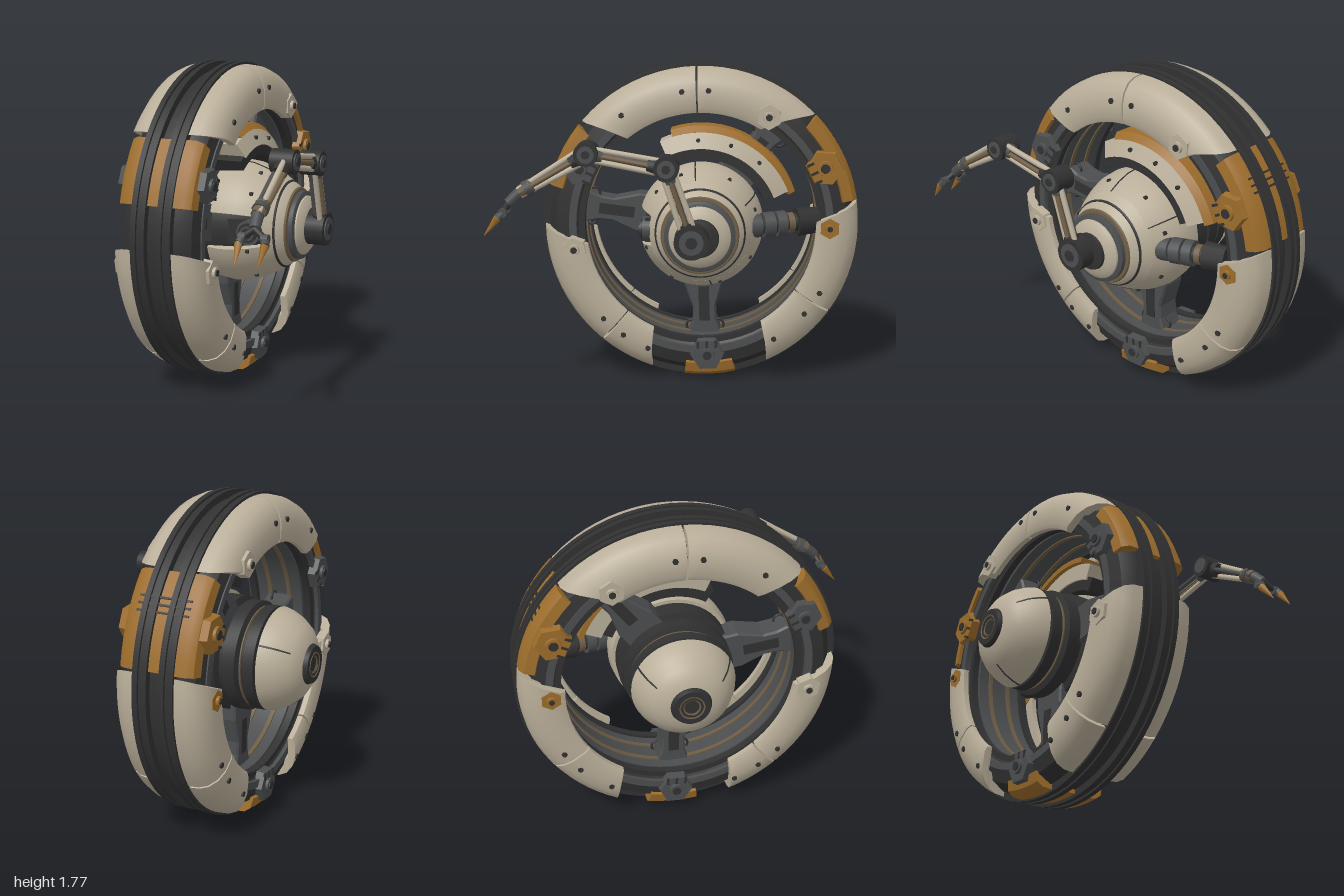
import * as THREE from 'three';
import { toCreasedNormals } from 'three/addons/utils/BufferGeometryUtils.js';

const material = (name, color) => Object.assign(new THREE.MeshStandardMaterial({ color }), { name });
const V = (x, y, z) => new THREE.Vector3(x, y, z);
const CX = -0.115, CY = 0.895, CZ = -0.11; // wheel centre, axle along x
const RAD = Math.PI / 180;

export function createModel() {
  const root = new THREE.Group();
  root.name = 'armedWheelRobot';
  const cream = material('cream', 0xb9ae99), orange = material('orange', 0x9c6c2b);
  const rubber = material('rubber', 0x313132), grey = material('grey', 0x4b4d4e);
  const brown = material('brown', 0x6e5d45);

  function add(name, geo, mat, parent = root) {
    const mesh = new THREE.Mesh(geo, mat);
    mesh.name = name;
    parent.add(mesh);
    return mesh;
  }

  // Sweep a closed [x, radius] outline round the axle, from degree a0 to a1.
  // Degree 0 points backward and 90 up; slants pull the inner ends in.
  function sweep(name, mat, outline, a0, a1, slant0 = 0, slant1 = 0) {
    const full = a1 - a0 >= 360, n = Math.ceil((a1 - a0) / 5);
    const pts = outline.map(([x, r]) => new THREE.Vector2(x, r));
    if (THREE.ShapeUtils.isClockWise(pts)) pts.reverse();
    const pos = [];
    const put = (i, p) => {
      const depth = 0.885 - p.y, t = i / n;
      const a = ((a0 + slant0 * depth) * (1 - t) + (a1 - slant1 * depth) * t) * RAD;
      pos.push(p.x, CY + p.y * Math.sin(a), CZ - p.y * Math.cos(a));
    };
    for (let i = 0; i < n; i++) pts.forEach((p, j) => {
      const q = pts[(j + 1) % pts.length];
      put(i, p); put(i, q); put(i + 1, p);
      put(i + 1, p); put(i, q); put(i + 1, q);
    });
    if (!full) for (const [a, b, c] of THREE.ShapeUtils.triangulateShape(pts, [])) {
      put(n, pts[a]); put(n, pts[b]); put(n, pts[c]);
      put(0, pts[c]); put(0, pts[b]); put(0, pts[a]);
    }
    const geo = new THREE.BufferGeometry();
    geo.setAttribute('position', new THREE.Float32BufferAttribute(pos, 3));
    return add(name, toCreasedNormals(geo, 0.6), mat);
  }
  const band = (x0, x1, r0, r1) => [[x0, r0], [x0, r1], [x1, r1], [x1, r0]];
  const bothSides = (fn) => [1, -1].forEach(fn);

  // Turned part on the axle; profile is [radius, x] with x rising
  function turn(name, mat, profile) {
    const geo = new THREE.LatheGeometry(profile.map(([r, x]) => new THREE.Vector2(r, x)), 48);
    geo.rotateZ(-Math.PI / 2).translate(0, CY, CZ);
    return add(name, toCreasedNormals(geo, 0.5), mat);
  }

  // Frame on the wheel: local x radial, y along the rim, z along the axle
  function polar(name, a, r, x) {
    const s = Math.sin(a * RAD), c = Math.cos(a * RAD), g = new THREE.Group();
    g.name = name;
    g.quaternion.setFromRotationMatrix(new THREE.Matrix4().makeBasis(V(0, s, -c), V(0, c, s), V(1, 0, 0)));
    g.position.set(x, CY + r * s, CZ - r * c);
    root.add(g);
    return g;
  }
  function bolt(a, r, x, size) {
    add('boltHead', new THREE.CylinderGeometry(size, size, .018, 6).rotateX(Math.PI / 2), rubber, polar('bolt', a, r, x));
  }

  // Round bar between two points
  function rod(name, mat, p, q, r0, r1 = r0, sides = 14) {
    const d = q.clone().sub(p);
    const mesh = add(name, new THREE.CylinderGeometry(r1, r0, d.length(), sides), mat);
    mesh.position.copy(p).addScaledVector(d, 0.5);
    mesh.quaternion.setFromUnitVectors(V(0, 1, 0), d.normalize());
    return mesh;
  }

  // Wheel core, inner rim rails and tread
  sweep('wheelCore', rubber, [[-.3, .67], [-.33, .72], [-.31, .8], [-.24, .845], [.01, .845], [.08, .8], [.1, .72], [.07, .67]], 0, 360);
  sweep('innerRim', grey, band(-.25, .02, .65, .68), 0, 360);
  bothSides((s) => {
    sweep('rimRail', rubber, band(CX + s * .17 - .02, CX + s * .17 + .02, .645, .7), 0, 360);
    sweep('rimTrim', brown, band(CX + s * .06 - .012, CX + s * .06 + .012, .643, .66), 0, 360);
    sweep('sideGroove', grey, band(CX + s * .2 - .02, CX + s * .2 + .02, .69, .73), 0, 360);
    for (const [u0, u1, r] of [[.034, .064, .885], [.064, .084, .872], [.084, .114, .885]])
      sweep('treadBand', rubber, band(CX + s * u0, CX + s * u1, .83, r), 0, 360);
  });

  // Cream armour segments on both sides of the tread: start, end and their slants
  const shell = [[.11, .872], [.17, .866], [.215, .845], [.25, .8], [.268, .74], [.268, .66], [.255, .63], [.225, .63], [.225, .75], [.11, .82]];
  const segments = [[44, 91.5, 60, 0], [92.3, 139.5, 0, 40], [-33.6, 9.5, 0, 25],
    [-65, -34.4, 28, 0], [180, 229.5, 35, 0], [230.3, 252, 0, 25]];
  // Orange armour plates, with a strip between the tread bands
  const plate = [[.1, .875], [.17, .87], [.205, .845], [.217, .79], [.19, .78], [.1, .82]];
  const plates = [[10, 44], [141, 165], [264, 283]];
  bothSides((s) => {
    const side = (outline) => outline.map(([u, r]) => [CX + s * u, r]);
    segments.forEach((seg) => sweep('armourSegment', cream, side(shell), ...seg));
    plates.forEach(([a, b]) => sweep('orangePlate', orange, side(plate), a, b));
    for (const a of [98, 87, 125, -29, -40, -57, 224, 235, 247]) bolt(a, .75, CX + s * .264, .016);
  });
  plates.forEach(([a, b]) => sweep('orangeStrip', orange, band(CX - .034, CX + .034, .84, .868), a, b));
  for (const a of [29, 31.5, 34]) sweep('plateVent', rubber, band(-.26, .03, .86, .877), a, a + .7);

  // Hexagonal clamps on each side of the rim
  const clamps = [[59, .71, .075, cream, .25], [26, .75, .105, orange, .222], [0, .705, .062, orange, .245],
    [-87, .735, .1, grey, .218], [190.4, .71, .075, cream, .25], [154.5, .735, .1, grey, .222]];
  bothSides((s) => clamps.forEach(([a, r, size, mat, u]) => {
    const g = polar('rimClamp', a, r, CX + s * u);
    const hex = (rad, depth, m, sides, z) => add('clampLayer',
      toCreasedNormals(new THREE.CylinderGeometry(rad * .92, rad, depth, sides).rotateX(s * Math.PI / 2), .5), m, g).position.set(0, 0, s * z);
    hex(size, .05, mat, 6, 0);
    hex(size * .42, .02, mat, 16, .03);
    hex(size * .27, .02, rubber, 8, .036);
    if (size > .09) for (const y of [-.5, 0, .5])
      add('clampSlot', new THREE.BoxGeometry(.04, .014, .008), rubber, g).position.set(-size * .6, y * size, s * .024);
  }));

  // Tapered spokes with cable hoops
  const half = [[.26, .1], [.36, .1], [.5, .055], [.58, .058], [.68, .09]];
  const spoke = new THREE.Shape([...half, ...half.map(([x, y]) => [x, -y]).reverse()].map(([x, y]) => new THREE.Vector2(x, y)));
  const spokeGeo = new THREE.ExtrudeGeometry(spoke, { depth: .13, bevelSize: .01, bevelThickness: .012, bevelSegments: 1 });
  for (const a of [173, -88, 53]) {
    const g = polar('spoke', a, 0, CX);
    add('spokeBeam', spokeGeo, grey, g).position.z = -.065;
    add('spokeInset', new THREE.BoxGeometry(.2, .06, .165), rubber, g).position.x = .48;
    bothSides((s) => {
      const hoop = add('cableHoop', new THREE.TorusGeometry(.034, .007, 8, 20), rubber, g);
      hoop.position.set(.62, s * .072, .03);
    });
  }

  // Central body: left dome, ribbed dark middle, right cone
  turn('domeCap', rubber, [[0, -.59], [.045, -.59], [.05, -.602], [.1, -.602], [.112, -.575], [.112, -.54]]);
  turn('domeRing', brown, [[.04, -.594], [.068, -.605], [.07, -.59]]);
  turn('leftDome', cream, [[.105, -.58], [.15, -.568], [.2, -.535], [.245, -.48], [.272, -.425], [.284, -.385], [.25, -.375]]);
  turn('ribbedBody', rubber, [[.2, -.38], [.284, -.37], [.284, -.31], [.265, -.3], [.265, -.28], [.3, -.27], [.3, -.2], [.275, -.19], [.275, -.17], [.315, -.16], [.315, -.05], [.305, .05], [.28, .14], [.2, .25]]);
  turn('bodyTrim', brown, [[.26, -.295], [.275, -.292], [.275, -.286], [.26, -.283]]);
  const cone = [[-.06, .335], [.02, .345], [.1, .336], [.17, .312], [.24, .277]];
  sweep('rightShell', cream, [...cone, [.23, .245], [.1, .3], [-.06, .31]], -163, 163);
  turn('rightCone', cream, [[.24, .235], [.277, .24], [.238, .3], [.205, .345], [.17, .362]]);
  turn('coneRing', rubber, [[.24, .292], [.245, .294], [.24, .303], [.23, .305]]);
  turn('coneTrim', brown, [[.2, .342], [.21, .345], [.205, .355], [.17, .358]]);
  turn('collar', grey, [[.16, .352], [.19, .36], [.19, .384], [.17, .392], [.15, .392]]);
  turn('collarCap', cream, [[.167, .385], [.164, .4], [.135, .422], [.09, .432]]);
  turn('armMount', rubber, [[.105, .42], [.1, .445], [.05, .455], [0, .455]]);
  for (const a of [20, 60, 110, 140, 200, 240, 290, 330]) bolt(a, .312, .168, .012);
  // Panel seams
  for (const a of [95, -80, 30])
    sweep('coneSeam', rubber, [...cone.slice(1).map(([x, r]) => [x, r + .003]), [.24, .26], [.02, .33]], a, a + 1.2);
  for (const a of [150, 30, -90])
    sweep('domeSeam', rubber, [[-.535, .203], [-.48, .248], [-.425, .275], [-.385, .287], [-.385, .27], [-.48, .23], [-.535, .19]], a, a + 2);

  // Arched guard over the body
  sweep('guardBand', orange, [[-.1, .52], [-.1, .55], [.04, .55], [.075, .515], [.04, .5]], 20, 108);
  sweep('guardPanel', cream, [[-.08, .515], [.076, .515], [.115, .43], [-.08, .42]], 22, 116);
  sweep('guardLiner', rubber, [[-.07, .44], [.105, .44], [.105, .375], [-.07, .36]], 24, 122);
  for (const a of [48, 70, 92]) bolt(a, .475, .098, .012);

  // Forward eye in the body's opening
  const eyeHousing = add('eyeHousing', new THREE.BoxGeometry(.17, .13, .12), rubber);
  eyeHousing.position.set(.14, CY, .13);
  for (const [r, z0, z1, mat] of [[.068, .1, .205, grey], [.054, .2, .215, rubber], [.04, .21, .222, grey], [.03, .215, .228, rubber]])
    rod('eyeBarrel', mat, V(.18, CY, z0), V(.18, CY, z1), r, r, 24);

  // Ribbed shock absorber at the back
  const s0 = V(.19, .905, -.3), s1 = V(.07, .93, -.75);
  const along = (t) => s0.clone().lerp(s1, t);
  rod('shockCore', rubber, s0, s1, .05);
  for (const [t0, t1, r, mat] of [[.04, .14, .056, grey], [.17, .3, .064, grey], [.33, .46, .07, grey], [.49, .6, .07, grey], [.63, .7, .055, brown]])
    rod('shockRib', mat, along(t0), along(t1), r, r, 20);
  rod('shockFoot', rubber, along(.74), s1, .08, .07, 8);

  // Arm: shoulder, two elbows, wrist
  const AX = .5;
  const joints = [V(AX, .895, -.07), V(AX, 1.28, .06), V(AX, 1.355, .47), V(AX, 1.15, .82)];
  [[.092, .435, .54], [.066, .435, .55], [.063, .435, .56]].forEach(([r, x0, x1], i) => {
    const at = (x) => V(x, joints[i].y, joints[i].z);
    rod('armJoint', rubber, at(x0), at(x1), r, r, 24);
    rod('jointCap', grey, at(x0 - .006), at(x1 + .006), r * .7, r * .7, 20);
    rod('jointPin', rubber, at(x0), at(x1 + .012), r * .35, r * .35, 8);
  });
  for (let i = 0; i < 3; i++) {
    const p = joints[i], q = joints[i + 1], d = q.clone().sub(p).normalize();
    const n = V(0, -d.z, d.y), taper = i === 2 ? .5 : .85;
    bothSides((s) => {
      const off = (b, k, x) => b.clone().addScaledVector(n, s * k).add(V(x, 0, 0));
      rod('armRod', cream, off(p, .034, .012), off(q, .034 * taper, .012), .015);
      rod('armStrut', s > 0 ? brown : grey, p.clone().add(V(s * .027, 0, 0)), q.clone().add(V(s * .024, 0, 0)), .013);
    });
    rod('armSleeve', rubber, p.clone().lerp(q, .1), p.clone().lerp(q, .24), .046, .04, 10);
    rod('armSleeve', grey, p.clone().lerp(q, .8), p.clone().lerp(q, .92), .038, .044, 10);
  }

  // Wrist and two-clawed gripper
  const wrist = joints[3], palm = V(.51, 1.095, .88);
  rod('wristCuff', brown, wrist.clone().lerp(joints[2], .18), wrist, .04, .034);
  rod('palm', grey, wrist, palm, .032, .028);
  bothSides((s) => {
    const knuckle = V(.515 + s * .058, 1.055, .9), tip = V(.515 + s * .06, .935, .998);
    const mid = V(.515 + s * .068, 1.03, .925);
    rod('fingerBase', rubber, palm, knuckle, .018, .016);
    rod('knuckle', grey, knuckle.clone().add(V(-.018, 0, 0)), knuckle.clone().add(V(.018, 0, 0)), .024);
    rod('fingerLink', grey, knuckle, mid, .02, .022, 8);
    rod('claw', orange, mid, tip, .022, .002, 6);
  });
  return root;
}
